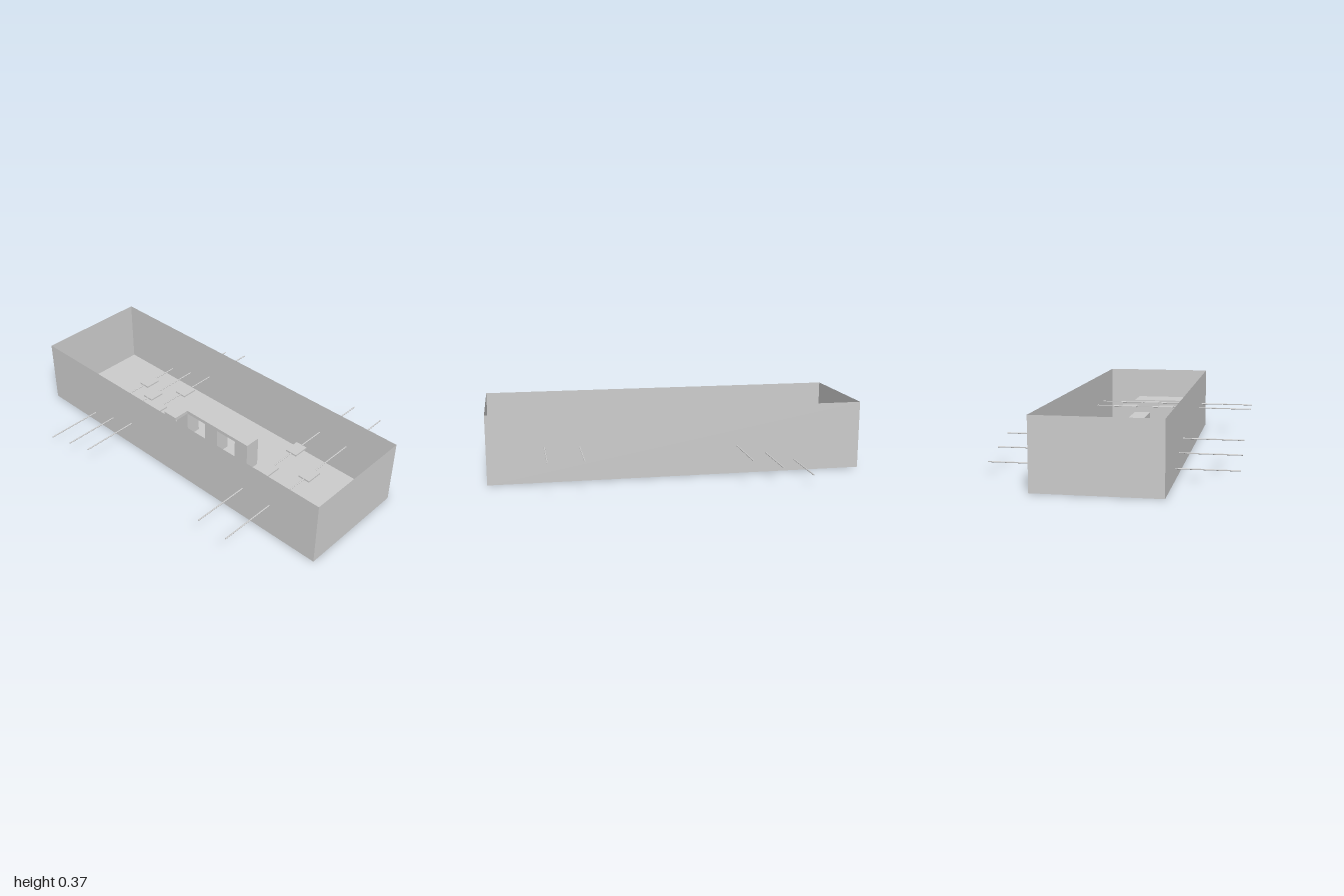
import * as THREE from 'three';

const material = new THREE.MeshStandardMaterial({ color: 0xcccccc, flatShading: true });
const sheet = new THREE.MeshStandardMaterial({ color: 0xcccccc, flatShading: true, side: THREE.DoubleSide });

const W = 0.634, H = 0.365, L = 2; // tray size
const DECK = 0.183;                // walkway height
const U = 0.09;                    // walkway block size

export function createModel() {
  const model = new THREE.Group();

  const add = (name, geometry, x, y, z, mat = material) => {
    const mesh = new THREE.Mesh(geometry, mat);
    mesh.name = name;
    mesh.position.set(x, y, z);
    model.add(mesh);
    return mesh;
  };
  // box given by its lower and upper limits on each axis
  const block = (name, [x0, x1], [y0, y1], [z0, z1]) =>
    add(name, new THREE.BoxGeometry(x1 - x0, y1 - y0, z1 - z0), (x0 + x1) / 2, (y0 + y1) / 2, (z0 + z1) / 2);

  // Open tray of thin sheets
  add('trayFloor', new THREE.PlaneGeometry(W, L), 0, 0, 0, sheet).rotation.x = -Math.PI / 2;
  for (const s of [-1, 1]) {
    add('trayEndWall', new THREE.PlaneGeometry(W, H), 0, H / 2, s * L / 2, sheet);
    add('traySideWall', new THREE.PlaneGeometry(L, H), s * W / 2, H / 2, 0, sheet).rotation.y = Math.PI / 2;
  }

  // Landing in the front corner
  block('cornerLanding', [-W / 2, 0.13], [DECK - 0.006, DECK], [0.82, L / 2]);

  // Cross rods, each carrying one or two small platforms
  const rods = [
    { z: 0.705, y: 0.185, pads: [0] },
    { z: 0.525, y: 0.185, pads: [-0.115, 0.115] },
    { z: -0.315, y: 0.15, pads: [-0.115, 0.115] },
    { z: -0.475, y: 0.105, pads: [0] },
    { z: -0.635, y: 0.06, pads: [-0.115, 0.115] },
  ];
  for (const { z, y, pads } of rods) {
    add('crossRod', new THREE.CylinderGeometry(0.0035, 0.0035, 1.27, 8), 0, y, z).rotation.z = Math.PI / 2;
    for (const x of pads) add('rodPlatform', new THREE.BoxGeometry(U, 0.009, 0.068), x, y, z);
  }

  // L-shaped walkway on square legs
  const under = DECK - 0.02;
  block('walkwayDeck', [-U / 2, U / 2], [under, DECK], [-0.23, 0.315]);
  block('walkwayBranch', [-0.14, -U / 2], [under, DECK], [-0.23, -0.14]);
  for (const z of [0.225, 0.0, -0.23]) block('walkwayLeg', [-U / 2, U / 2], [0, under], [z, z + U]);

  // Steps down from the branch to the floor
  block('upperStep', [-0.23, -0.14], [0, 0.14], [-0.23, -0.14]);
  block('lowerStep', [-0.228, -0.143], [0, 0.07], [-0.14, -0.05]);

  return model;
}
